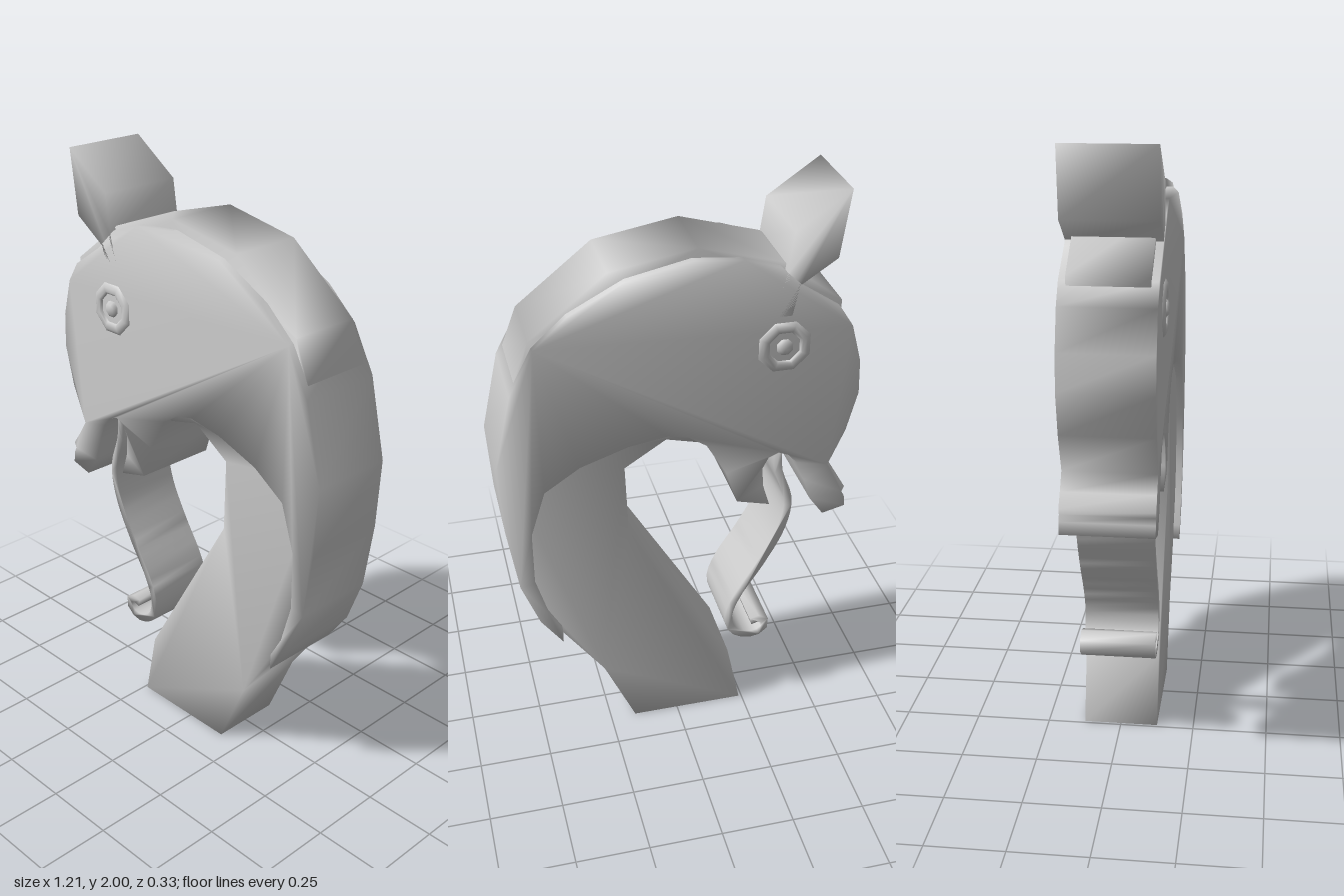
import * as THREE from 'three';
import { mergeVertices } from 'three/addons/utils/BufferGeometryUtils.js';

const material = new THREE.MeshStandardMaterial({ color: 0xcccccc });

// Weld all corners so the shading runs softly round the edges
function soften(geometry) {
  geometry.deleteAttribute('normal');
  geometry.deleteAttribute('uv');
  const welded = mergeVertices(geometry, 1e-4);
  welded.computeVertexNormals();
  return welded;
}

// Flat outline cut from a board centred on z = 0
function board(name, points, halfDepth) {
  const shape = new THREE.Shape(points.map(([x, y]) => new THREE.Vector2(x, y)));
  const geometry = new THREE.ExtrudeGeometry(shape, { depth: halfDepth * 2, bevelEnabled: false });
  geometry.translate(0, 0, -halfDepth);
  const mesh = new THREE.Mesh(soften(geometry), material);
  mesh.name = name;
  return mesh;
}

// Outline of a ribbon of constant width along a smooth path
function ribbon(points, width, steps) {
  const curve = new THREE.CatmullRomCurve3(points.map(([x, y]) => new THREE.Vector3(x, y, 0)));
  const left = [], right = [];
  for (let i = 0; i <= steps; i++) {
    const p = curve.getPointAt(i / steps), t = curve.getTangentAt(i / steps);
    left.push([p.x - t.y * width / 2, p.y + t.x * width / 2]);
    right.unshift([p.x + t.y * width / 2, p.y - t.x * width / 2]);
  }
  return [...left, ...right];
}

// Octagonal rim, recessed disc and pointed pupil, facing +z
function createEye(name) {
  const eye = new THREE.Group();
  eye.name = name;
  const rimProfile = [[0.052, -0.01], [0.054, 0.004], [0.062, 0.009], [0.078, 0.009], [0.092, 0], [0.092, -0.01]];
  const pupilProfile = [[0.028, -0.01], [0.028, 0.006], [0.018, 0.014], [0, 0.017]];
  for (const [part, profile] of [['eyeRim', rimProfile], ['pupil', pupilProfile]]) {
    const lathe = new THREE.LatheGeometry(
      profile.map(([r, h]) => new THREE.Vector2(r, h)).reverse(), 8, Math.PI / 8);
    // Lathe profiles run bottom to top for outward faces
    const index = lathe.index.array;
    for (let i = 0; i < index.length; i += 3) [index[i], index[i + 1]] = [index[i + 1], index[i]];
    lathe.rotateX(Math.PI / 2);
    const mesh = new THREE.Mesh(soften(lathe), material.clone());
    mesh.material.side = THREE.DoubleSide;
    mesh.name = part;
    eye.add(mesh);
  }
  return eye;
}

export function createModel() {
  const model = new THREE.Group();
  model.name = 'carvedFigurehead';

  // Neck post, rising inside the mane and along the crest
  model.add(board('neck', [
    [-0.24, 0], [0.16, 0], [0.27, 0.25], [0.42, 0.46], [0.5, 0.62], [0.55, 0.9], [0.57, 1.16],
    [0.52, 1.47], [0.47, 1.6], [0.22, 1.8], [-0.06, 1.85], [-0.33, 1.775], [-0.53, 1.625],
    [-0.53, 1.45], [-0.3, 1.25], [-0.08, 1.16], [0.04, 1.19], [0.18, 1.1], [0.17, 0.85], [-0.19, 0.24],
  ], 0.125));

  // Head with jaws, sweeping back into the pointed mane
  model.add(board('headAndMane', [
    [-0.59, 0.84], [-0.51, 0.82], [-0.46, 0.89], [-0.435, 0.97], [-0.405, 1.045], [-0.375, 1.08],
    [-0.34, 1.095], [-0.305, 1.08], [-0.285, 1.04], [-0.29, 0.97], [-0.315, 0.89], [-0.2, 0.92],
    [-0.16, 1.04], [-0.09, 1.16], [-0.03, 1.2], [0.04, 1.215], [0.17, 1.195], [0.33, 1.14],
    [0.45, 1.06], [0.5, 0.9], [0.5, 0.7], [0.46, 0.56], [0.415, 0.48], [0.415, 0.425],
    [0.49, 0.53], [0.55, 0.69], [0.585, 0.92], [0.6, 1.16], [0.54, 1.43], [0.46, 1.58],
    [0.35, 1.68], [0.17, 1.775], [-0.04, 1.82], [-0.2, 1.805], [-0.32, 1.765], [-0.4, 1.69],
    [-0.52, 1.61], [-0.565, 1.54], [-0.6, 1.41], [-0.605, 1.29], [-0.57, 1.15], [-0.515, 1.02],
    [-0.55, 0.965], [-0.583, 0.92], [-0.575, 0.9], [-0.585, 0.88],
  ], 0.148));

  // Upright ear, as wide as the head
  model.add(board('ear', [
    [-0.53, 2], [-0.5, 1.78], [-0.38, 1.7], [-0.36, 1.6], [-0.3, 1.6], [-0.335, 1.74], [-0.355, 1.88],
  ], 0.148));

  // Thin tongue hanging from the mouth and curling at its tip
  model.add(board('tongue', ribbon([
    [-0.345, 1.12], [-0.35, 1.01], [-0.39, 0.88], [-0.37, 0.76], [-0.3, 0.62], [-0.22, 0.49],
    [-0.19, 0.4], [-0.21, 0.33], [-0.27, 0.3], [-0.32, 0.315], [-0.33, 0.35], [-0.305, 0.366], [-0.275, 0.358],
  ], 0.028, 36), 0.125));

  // Eyes on both faces of the head
  for (const side of [1, -1]) {
    const eye = createEye(side > 0 ? 'frontEye' : 'backEye');
    eye.position.set(-0.34, 1.493, side * 0.148);
    if (side < 0) eye.rotation.y = Math.PI;
    model.add(eye);
  }
  return model;
}
